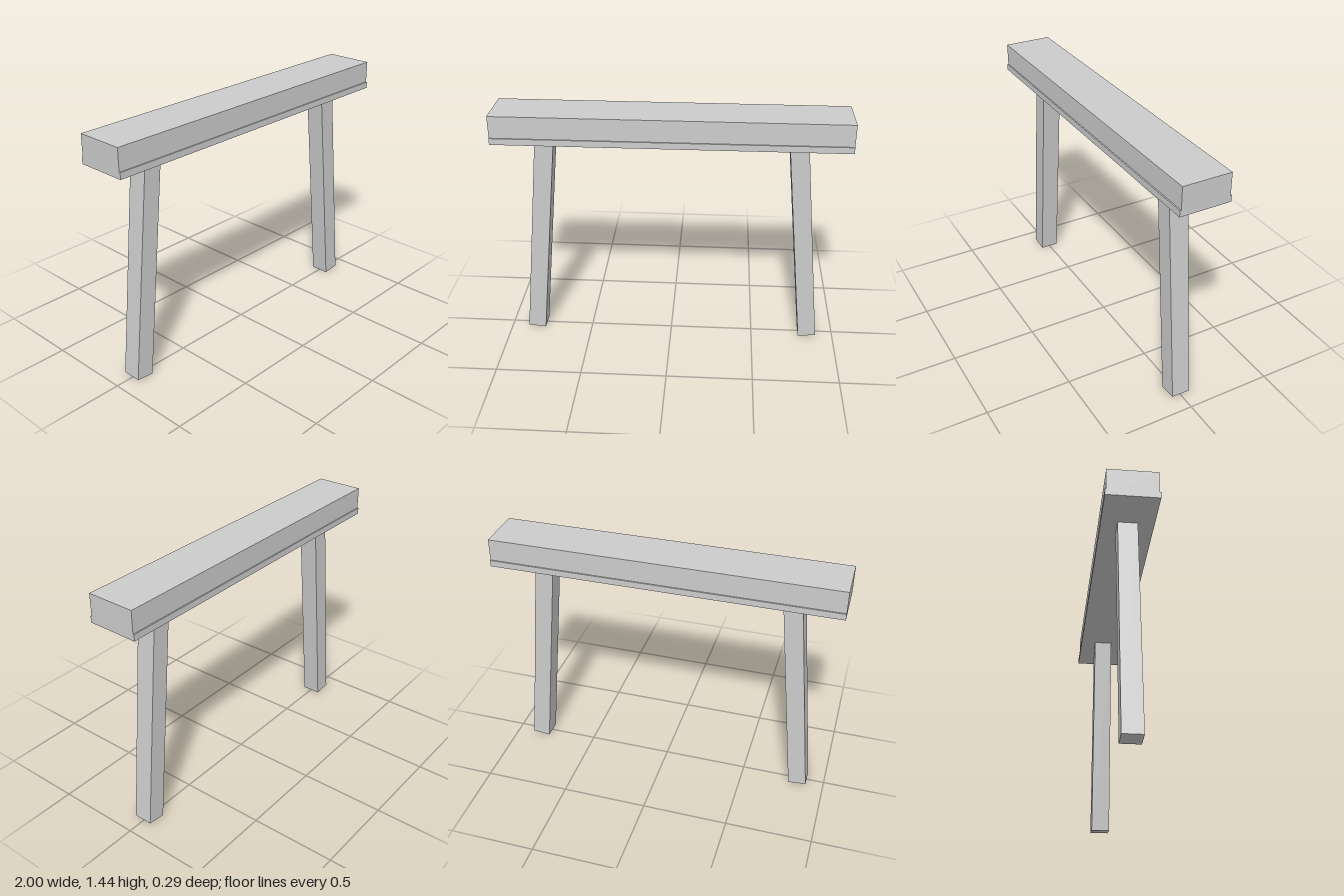
import * as THREE from 'three';

export function createModel() {
  const model = new THREE.Group();
  model.name = 'bench';
  const material = new THREE.MeshStandardMaterial({ color: 0xcccccc, flatShading: true });

  // Seat beam: stepped cross-section with a narrow lip along both lower edges
  const half = [[0.147, 1.28], [0.147, 1.317], [0.14, 1.317], [0.14, 1.444]];
  const outline = [...half, ...half.map(([z, y]) => [-z, y]).reverse()];
  const section = new THREE.Shape(outline.map(([z, y]) => new THREE.Vector2(z, y)));
  const beamGeometry = new THREE.ExtrudeGeometry(section, { depth: 2, bevelEnabled: false });
  beamGeometry.translate(0, 0, -1).rotateY(Math.PI / 2);
  const beam = new THREE.Mesh(beamGeometry, material);
  beam.name = 'seatBeam';
  model.add(beam);

  // Splayed square legs, cut square at the foot and let into the beam
  const splay = 0.102, width = 0.106, length = 1.3;
  const legGeometry = new THREE.BoxGeometry(width, length, 0.111).translate(0, length / 2, 0);
  for (const side of [1, -1]) {
    const leg = new THREE.Mesh(legGeometry, material);
    leg.name = side > 0 ? 'leftLeg' : 'rightLeg';
    leg.position.set(side * 0.843, (width / 2) * Math.sin(splay), 0);
    leg.rotation.z = side * splay;
    model.add(leg);
  }
  return model;
}
